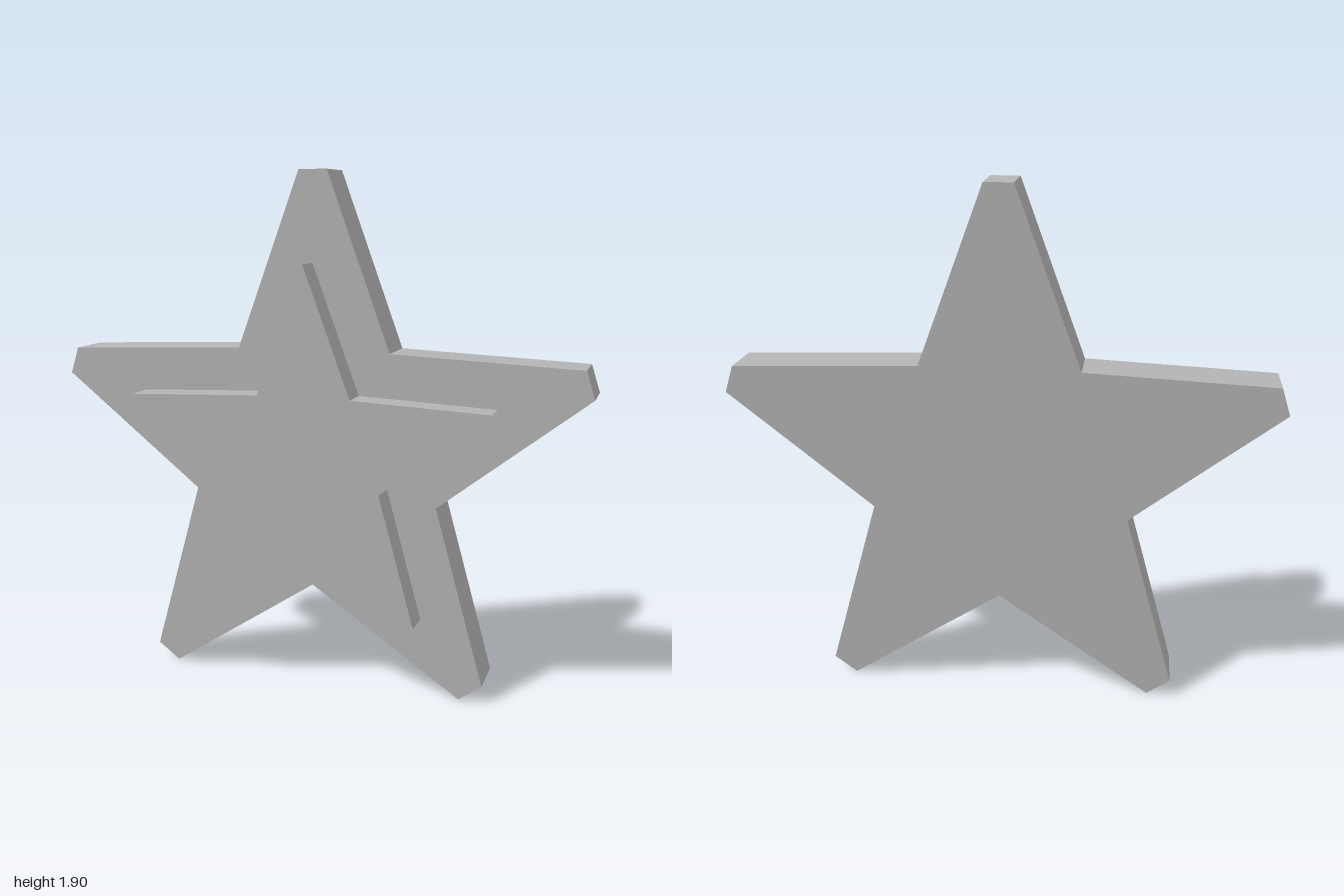
import * as THREE from 'three';

const CENTRE_Y = 0.87;

// Five-pointed star; tipHalf > 0 cuts each point off with a short flat edge
function starShape(outer, inner, tipHalf) {
  const points = [];
  for (let i = 0; i < 5; i++) {
    const tip = Math.PI / 2 + (i * Math.PI * 2) / 5;
    const notch = tip + Math.PI / 5;
    const c = Math.cos(tip), s = Math.sin(tip);
    const sides = tipHalf > 0 ? [-tipHalf, tipHalf] : [0];
    for (const t of sides) points.push(new THREE.Vector2(outer * c - t * s, outer * s + t * c));
    points.push(new THREE.Vector2(inner * Math.cos(notch), inner * Math.sin(notch)));
  }
  return new THREE.Shape(points);
}

function starPlate(name, shape, back, front, material) {
  const geometry = new THREE.ExtrudeGeometry(shape, { depth: front - back, bevelEnabled: false });
  const mesh = new THREE.Mesh(geometry, material);
  mesh.name = name;
  mesh.position.set(0, CENTRE_Y, back);
  return mesh;
}

export function createModel() {
  const group = new THREE.Group();
  group.name = 'star';
  const grey = new THREE.MeshStandardMaterial({ color: 0xb4b4b4 });
  grey.name = 'grey';

  // Large blunt-tipped star behind, small sharp star raised on its front
  group.add(starPlate('baseStar', starShape(1.035, 0.49, 0.052), -0.143, 0.034, grey));
  group.add(starPlate('raisedStar', starShape(0.71, 0.298, 0), 0.034, 0.143, grey));
  return group;
}
